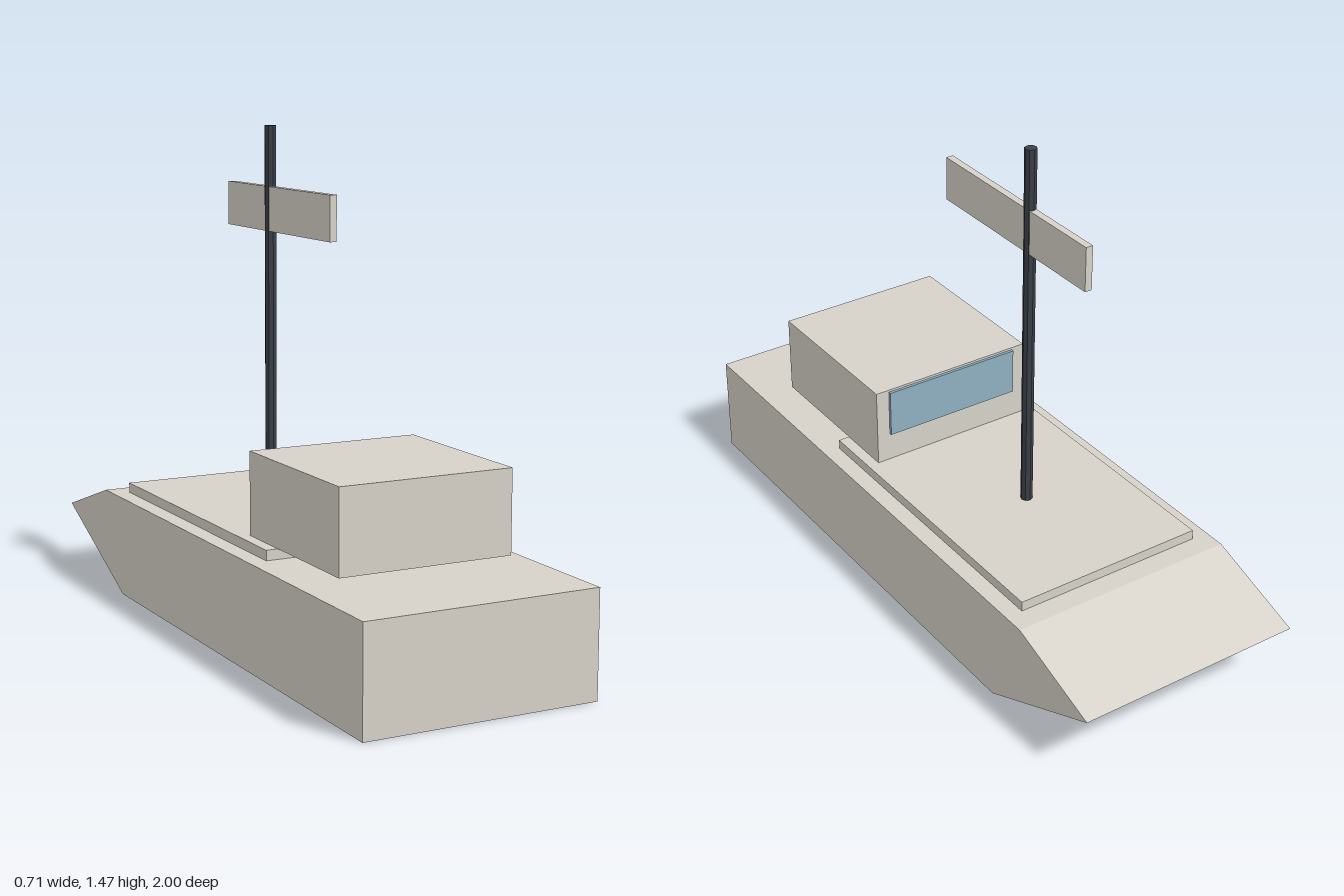
import * as THREE from 'three';

export function createModel() {
  const boat = new THREE.Group();
  boat.name = 'boat';

  const mat = (name, color) => {
    const m = new THREE.MeshStandardMaterial({ color });
    m.name = name;
    return m;
  };
  const paint = mat('warm grey paint', 0xd6d2c8);
  const glass = mat('blue glass', 0x8fb0c2);
  const dark = mat('dark metal', 0x3c4048);
  dark.flatShading = true;

  const add = (name, geometry, material) => {
    const mesh = new THREE.Mesh(geometry, material);
    mesh.name = name;
    boat.add(mesh);
    return mesh;
  };

  // Box given by its width (centred on x) and its y and z ranges
  const box = (name, width, y0, y1, z0, z1, material) =>
    add(name, new THREE.BoxGeometry(width, y1 - y0, z1 - z0), material)
      .position.set(0, (y0 + y1) / 2, (z0 + z1) / 2);

  // Hull: side profile (z, y) with a wedge bow, extruded across the width
  const hullWidth = 0.706;
  const profile = new THREE.Shape(
    [[1, 0], [1, 0.31], [-0.69, 0.31], [-1, 0.205], [-0.56, 0]]
      .map(([z, y]) => new THREE.Vector2(z, y)));
  const hull = new THREE.ExtrudeGeometry(profile, { depth: hullWidth, bevelEnabled: false });
  hull.translate(0, 0, -hullWidth / 2).rotateY(-Math.PI / 2);
  add('hull', hull, paint);

  // Deck panel, cabin resting at its height, and windshield
  box('deckPanel', 0.6, 0.31, 0.34, -0.625, 0.355, paint);
  box('cabin', 0.53, 0.34, 0.583, 0.18, 0.71, paint);
  box('windshield', 0.445, 0.43, 0.576, 0.171, 0.18, glass);

  // Mast with a flat fore-and-aft board
  add('mast', new THREE.CylinderGeometry(0.018, 0.018, 1.13, 8), dark)
    .position.set(0, 0.905, -0.22);
  box('mastBoard', 0.022, 1.157, 1.29, -0.49, 0.178, paint);

  return boat;
}
